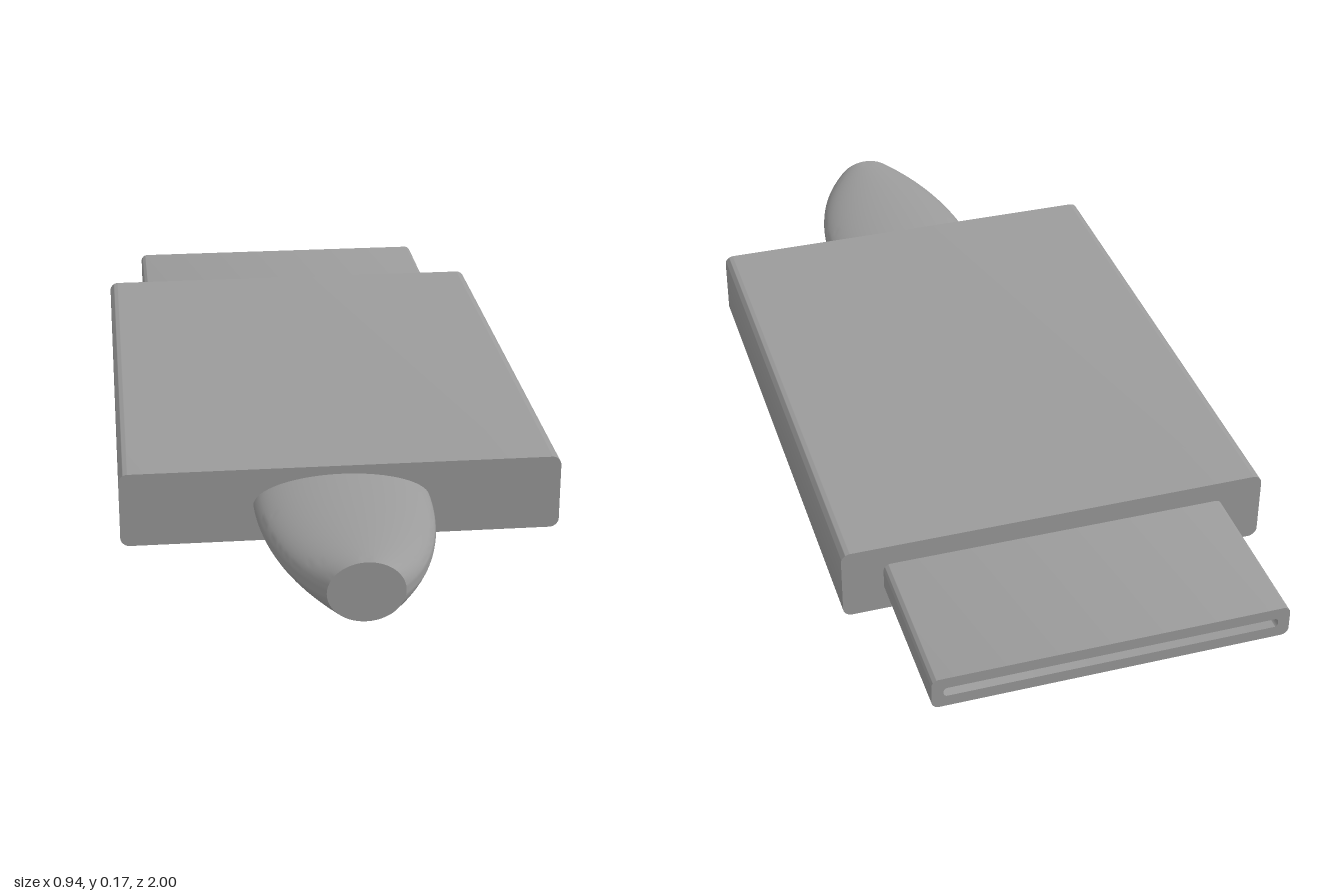
import * as THREE from 'three';
import { toCreasedNormals } from 'three/addons/utils/BufferGeometryUtils.js';

const MID = 0.0825; // height of the centre line

// Traces a rounded rectangle centred on the origin
function roundedRect(path, w, h, r) {
  const x = w / 2, y = h / 2, q = Math.PI / 2;
  path.moveTo(x, -y + r);
  path.absarc(x - r, y - r, r, 0, q);
  path.absarc(-x + r, y - r, r, q, 2 * q);
  path.absarc(-x + r, -y + r, r, 2 * q, 3 * q);
  path.absarc(x - r, -y + r, r, 3 * q, 4 * q);
  path.closePath();
  return path;
}

function addMesh(group, name, geometry) {
  const material = new THREE.MeshStandardMaterial({ color: 0x9b9b9b });
  const mesh = new THREE.Mesh(toCreasedNormals(geometry, 0.6), material);
  mesh.name = name;
  mesh.position.y = MID;
  group.add(mesh);
}

// Extrudes a profile between two z positions
function bar(shape, z0, z1) {
  const g = new THREE.ExtrudeGeometry(shape, { depth: z1 - z0, bevelEnabled: false, curveSegments: 8 });
  return g.translate(0, 0, z0);
}

// Cable sleeve: a wide ellipse whose sides curve in to a near circle
function sleeveGeometry(z0, z1) {
  const g = new THREE.CylinderGeometry(1, 1, 1, 64, 24);
  g.rotateX(Math.PI / 2);
  const p = g.attributes.position;
  for (let i = 0; i < p.count; i++) {
    const t = p.getZ(i) + 0.5;
    const halfWidth = 0.188 * Math.sqrt(1 - (0.91 * t) ** 2);
    p.setXYZ(i, p.getX(i) * halfWidth, p.getY(i) * 0.064, z0 + t * (z1 - z0));
  }
  return g;
}

export function createModel() {
  const group = new THREE.Group();
  group.name = 'flatPlug';

  // Main housing
  addMesh(group, 'housing', bar(roundedRect(new THREE.Shape(), 0.94, 0.165, 0.02), -0.635, 0.587));

  // Connector shell with a thin slot open at the back
  const shell = roundedRect(new THREE.Shape(), 0.76, 0.072, 0.016);
  shell.holes.push(roundedRect(new THREE.Path(), 0.71, 0.021, 0.008));
  addMesh(group, 'connectorShell', bar(shell, -1, -0.635));

  // Tapered cable sleeve at the front
  addMesh(group, 'cableSleeve', sleeveGeometry(0.587, 1));

  return group;
}
